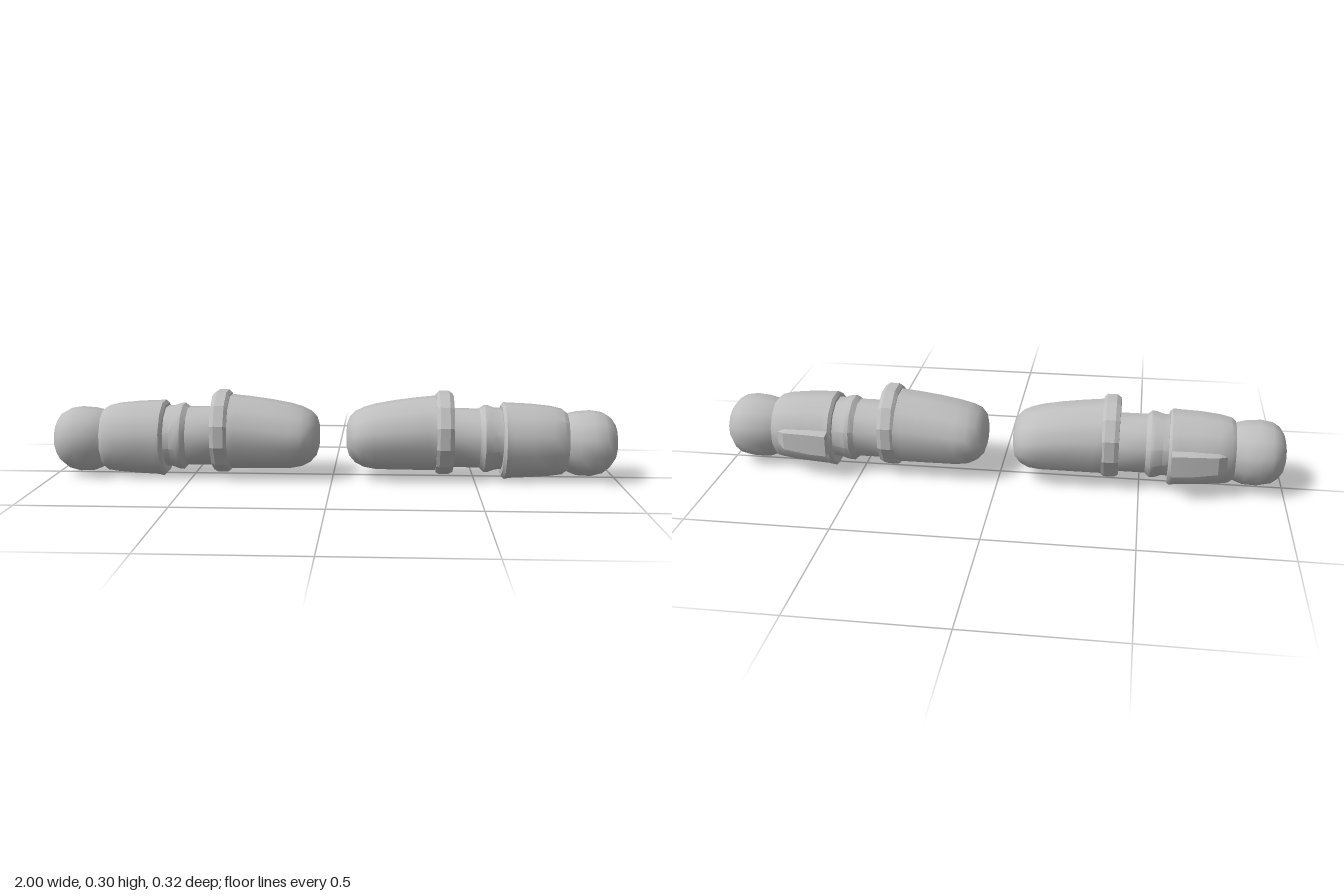
import * as THREE from 'three';
import { toCreasedNormals } from 'three/addons/utils/BufferGeometryUtils.js';

const SIDES = 12;

// Skin closed rings of [x, y, z] points; side = -1 mirrors in x and flips the winding
function loft(rings, side, crease) {
  const pos = [];
  const tri = (a, b, c) => {
    for (const p of side > 0 ? [a, b, c] : [a, c, b]) pos.push(p[0] * side, p[1], p[2]);
  };
  const middle = (ring) => [0, 1, 2].map((k) => ring.reduce((s, p) => s + p[k], 0) / ring.length);
  const n = rings[0].length;
  const first = rings[0], last = rings[rings.length - 1];
  const m0 = middle(first), m1 = middle(last);
  for (let j = 0; j < n; j++) {
    const k = (j + 1) % n;
    for (let i = 0; i < rings.length - 1; i++) {
      const p = rings[i], q = rings[i + 1];
      tri(p[j], p[k], q[k]);
      tri(p[j], q[k], q[j]);
    }
    tri(m0, first[k], first[j]);
    tri(m1, last[j], last[k]);
  }
  const geo = new THREE.BufferGeometry();
  geo.setAttribute('position', new THREE.Float32BufferAttribute(pos, 3));
  return toCreasedNormals(geo, crease);
}

// Twelve-sided ring with flat top, bottom, front and back, from its extents
function ring([x, y0, y1, z0, z1]) {
  const r = 1 / Math.cos(Math.PI / SIDES);
  return Array.from({ length: SIDES }, (_, j) => {
    const a = ((j + 0.5) / SIDES) * Math.PI * 2;
    return [x, (y0 + y1) / 2 + (Math.cos(a) * r * (y1 - y0)) / 2,
      (z0 + z1) / 2 + (Math.sin(a) * r * (z1 - z0)) / 2];
  });
}

// Four-sided ring for the back fin: narrower at its outer (rear) edge
function finRing([x, yIn0, yIn1, yOut0, yOut1, zOut]) {
  return [[x, yIn1, -0.07], [x, yIn0, -0.07], [x, yOut0, zOut], [x, yOut1, zOut]];
}

// Sections along x: [x, bottom, top, back, front]
const PARTS = {
  roundedEnd: { crease: 1, rows: [
    [0.05, 0.105, 0.19, -0.045, 0.065], [0.058, 0.08, 0.212, -0.085, 0.1],
    [0.08, 0.057, 0.233, -0.112, 0.132], [0.11, 0.042, 0.247, -0.125, 0.144],
    [0.15, 0.035, 0.259, -0.128, 0.147], [0.22, 0.033, 0.272, -0.128, 0.147],
    [0.3, 0.033, 0.283, -0.128, 0.147], [0.34, 0.033, 0.287, -0.128, 0.147],
    [0.38, 0.033, 0.292, -0.128, 0.147]] },
  collar: { crease: 0.3, rows: [
    [0.365, 0.026, 0.296, -0.126, 0.15], [0.376, 0.02, 0.307, -0.132, 0.158],
    [0.41, 0.02, 0.307, -0.132, 0.158], [0.425, 0.028, 0.297, -0.125, 0.15]] },
  neck: { crease: 0.8, rows: [
    [0.41, 0.042, 0.245, -0.1, 0.115], [0.52, 0.042, 0.245, -0.1, 0.115]] },
  neckRing: { crease: 0.6, rows: [
    [0.518, 0.042, 0.245, -0.1, 0.115], [0.535, 0.026, 0.257, -0.112, 0.128],
    [0.55, 0.027, 0.256, -0.112, 0.127], [0.575, 0.036, 0.248, -0.104, 0.119],
    [0.61, 0.037, 0.247, -0.103, 0.118]] },
  sleeve: { crease: 0.6, rows: [
    [0.596, 0.013, 0.257, -0.122, 0.135], [0.606, 0.003, 0.267, -0.13, 0.146],
    [0.625, 0.007, 0.266, -0.127, 0.143], [0.7, 0.011, 0.263, -0.122, 0.14],
    [0.77, 0.016, 0.256, -0.112, 0.131], [0.81, 0.021, 0.247, -0.1, 0.119],
    [0.825, 0.032, 0.235, -0.09, 0.108]] },
  ballEnd: { crease: 1.1, rows: [
    [0.805, 0.045, 0.222, -0.082, 0.1], [0.83, 0.03, 0.232, -0.09, 0.11],
    [0.86, 0.019, 0.238, -0.104, 0.126], [0.91, 0.017, 0.242, -0.108, 0.132],
    [0.95, 0.027, 0.236, -0.104, 0.127], [0.975, 0.045, 0.222, -0.088, 0.109],
    [0.993, 0.07, 0.197, -0.062, 0.08], [1, 0.095, 0.17, -0.035, 0.05]] },
};

const FIN = [
  [0.605, 0.085, 0.188, 0.098, 0.173, -0.16], [0.67, 0.086, 0.187, 0.098, 0.173, -0.153],
  [0.765, 0.092, 0.18, 0.105, 0.168, -0.136], [0.8, 0.105, 0.168, 0.115, 0.158, -0.1]];

export function createModel() {
  const model = new THREE.Group();
  const grey = new THREE.MeshStandardMaterial({ color: 0xbfbfbf });
  grey.name = 'plain grey';

  // Two mirrored units, lying end to end along x
  for (const side of [1, -1]) {
    const unit = new THREE.Group();
    unit.name = side > 0 ? 'leftUnit' : 'rightUnit';
    const add = (name, geo) => {
      const mesh = new THREE.Mesh(geo, grey);
      mesh.name = name;
      unit.add(mesh);
    };
    for (const [name, { crease, rows }] of Object.entries(PARTS)) {
      add(name, loft(rows.map(ring), side, crease));
    }
    add('backFin', loft(FIN.map(finRing), side, 0.3));
    model.add(unit);
  }
  return model;
}
